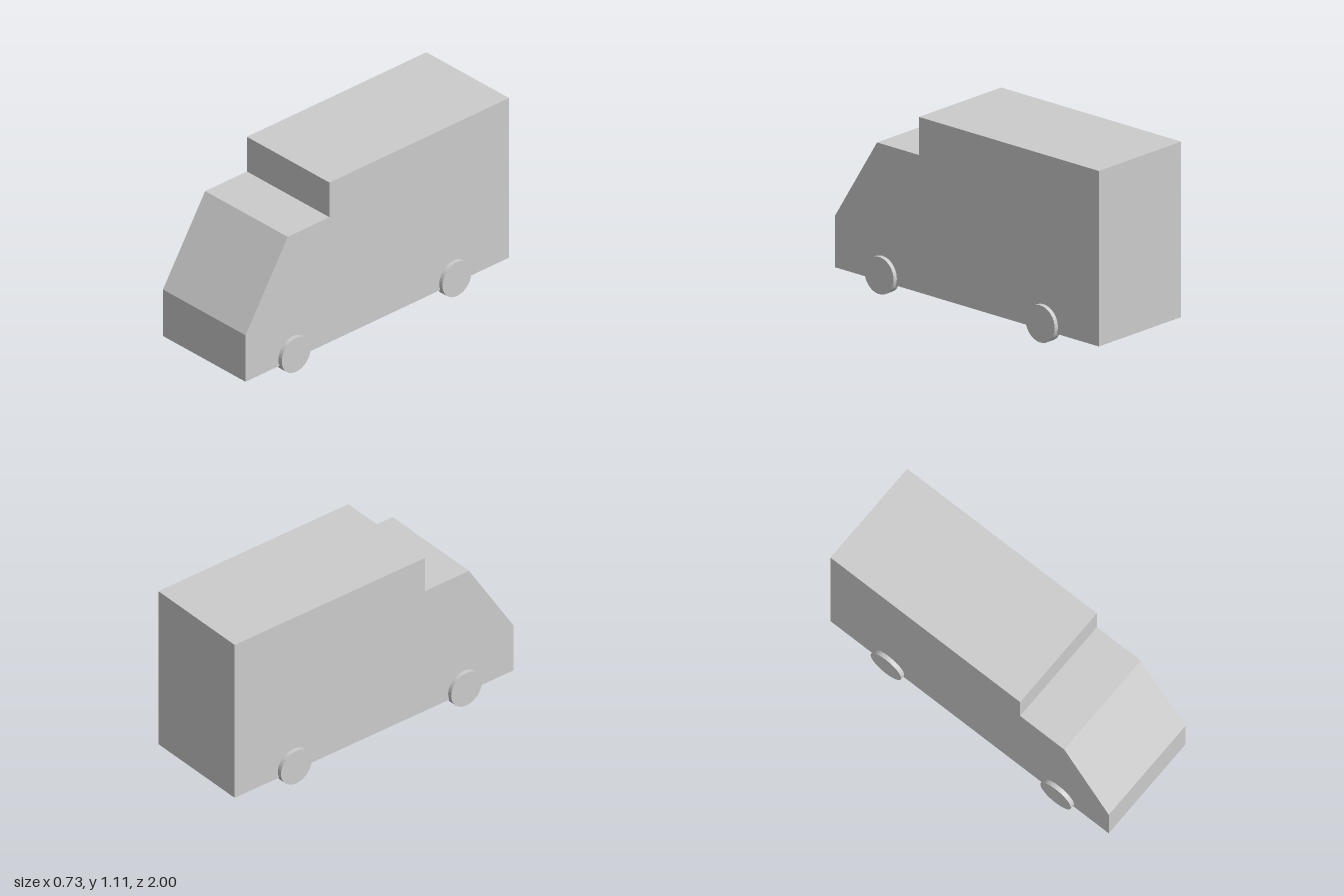
import * as THREE from 'three';

const WIDTH = 0.68;
const WHEEL_R = 0.11;
const WHEEL_W = 0.054;

export function createModel() {
  const van = new THREE.Group();
  van.name = 'boxVan';
  const material = new THREE.MeshStandardMaterial({ color: 0xcccccc, flatShading: true });

  // Body: side profile as (z, y), extruded across the width
  const profile = [
    [-1, 0.068], [1, 0.068], [1, 0.37], [0.68, 0.88],
    [0.363, 0.88], [0.363, 1.105], [-1, 1.105],
  ].map(([z, y]) => new THREE.Vector2(z, y));
  const bodyGeometry = new THREE.ExtrudeGeometry(new THREE.Shape(profile), {
    depth: WIDTH, bevelEnabled: false,
  });
  bodyGeometry.rotateY(-Math.PI / 2).translate(WIDTH / 2, 0, 0);
  const body = new THREE.Mesh(bodyGeometry, material);
  body.name = 'body';
  van.add(body);

  // Wheels: thin discs straddling the body sides
  const wheelGeometry = new THREE.CylinderGeometry(WHEEL_R, WHEEL_R, WHEEL_W, 32);
  wheelGeometry.rotateZ(Math.PI / 2);
  for (const [axle, z] of [['front', 0.64], ['rear', -0.58]]) {
    for (const [side, sign] of [['Left', 1], ['Right', -1]]) {
      const wheel = new THREE.Mesh(wheelGeometry, material);
      wheel.name = `${axle}${side}Wheel`;
      wheel.position.set(sign * 0.34, WHEEL_R, z);
      van.add(wheel);
    }
  }
  return van;
}
